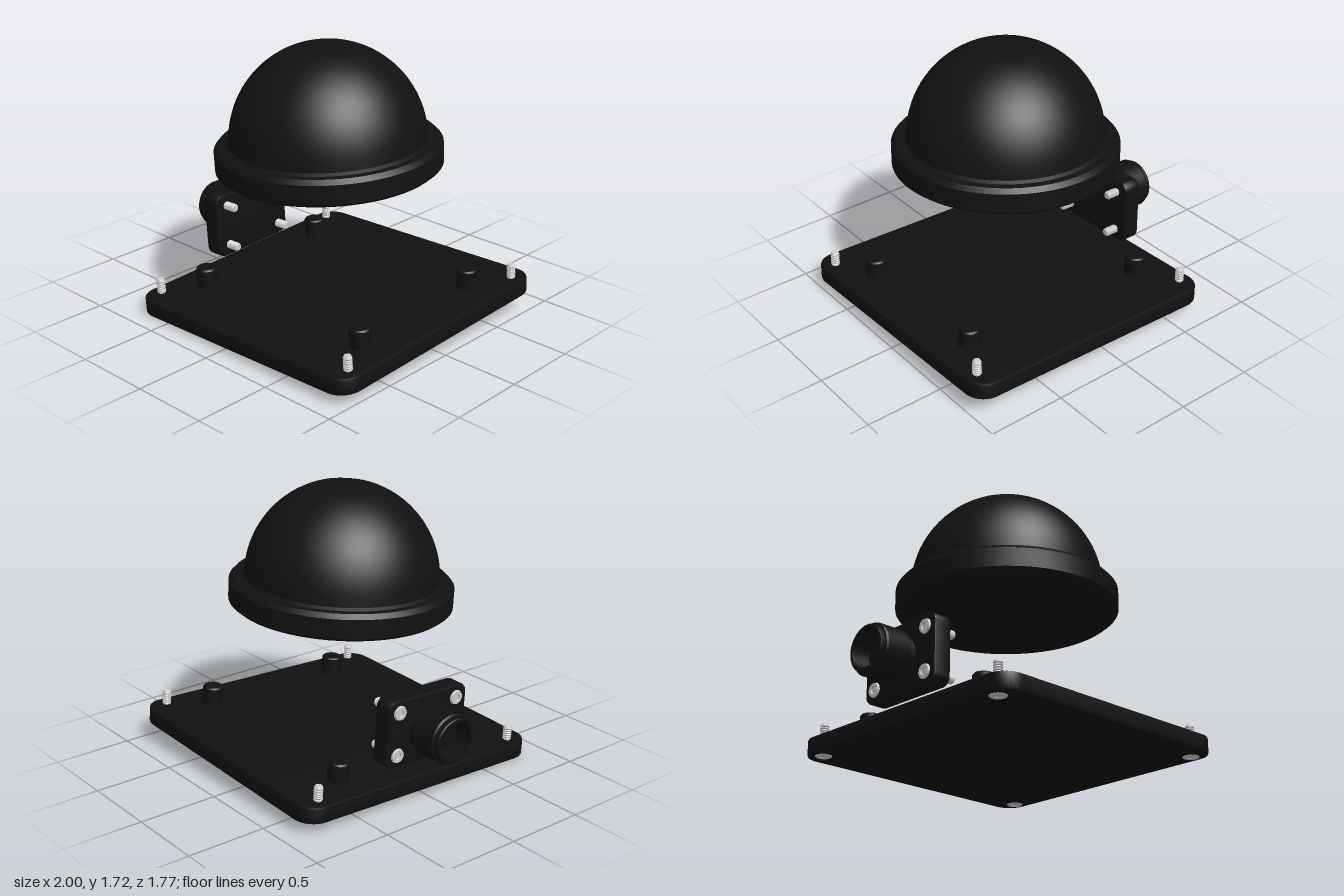
import * as THREE from 'three';
import { toCreasedNormals } from 'three/addons/utils/BufferGeometryUtils.js';

const black = new THREE.MeshStandardMaterial({ color: 0x111111 });
const steel = new THREE.MeshStandardMaterial({ color: 0xcccccc });

function part(name, geometry, material, parent) {
  const mesh = new THREE.Mesh(toCreasedNormals(geometry, 0.5), material);
  mesh.name = name;
  parent.add(mesh);
  return mesh;
}

const lathe = (points, sides) =>
  new THREE.LatheGeometry(points.map(([r, y]) => new THREE.Vector2(r, y)), sides);

// Bevelled slab with rounded corners, w by h, spanning z = 0..depth
function roundedSlab(w, h, depth, radius, bevel) {
  const x = w / 2 - bevel, y = h / 2 - bevel, r = radius - bevel;
  const s = new THREE.Shape();
  s.absarc(x - r, y - r, r, 0, Math.PI / 2);
  s.absarc(-x + r, y - r, r, Math.PI / 2, Math.PI);
  s.absarc(-x + r, -y + r, r, Math.PI, Math.PI * 1.5);
  s.absarc(x - r, -y + r, r, Math.PI * 1.5, Math.PI * 2);
  s.closePath();
  return new THREE.ExtrudeGeometry(s, {
    depth: depth - 2 * bevel, bevelSize: bevel, bevelThickness: bevel,
    bevelSegments: 2, curveSegments: 8,
  }).translate(0, 0, bevel);
}

// Socket-head screw pointing up +y, head resting just below y = 0
function screwGeometry(length, headRadius, headHeight) {
  const pts = [[0, -0.001], [0.022, -0.001], [0.024, -headHeight],
    [headRadius - 0.005, -headHeight], [headRadius, 0], [0.023, 0.002]];
  const pitch = 0.014;
  for (let y = 0.05; y < length - pitch; y += pitch) {
    pts.push([0.023, y], [0.028, y + pitch / 2]);
  }
  pts.push([0.023, length - 0.004], [0.02, length], [0, length]);
  return lathe(pts, 16);
}

// Calls fn at the four corners (+-a, +-b)
function corners(a, b, fn) {
  for (const i of [-1, 1]) for (const j of [-1, 1]) fn(i * a, j * b);
}

export function createModel() {
  const model = new THREE.Group();
  model.name = 'domeHousing';
  const body = new THREE.Group();
  body.name = 'explodedAssembly';
  model.add(body);

  // Base plate with standoffs and corner screws
  const base = new THREE.Group();
  base.name = 'base';
  body.add(base);
  part('basePlate', roundedSlab(1.765, 1.765, 0.105, 0.13, 0.01).rotateX(-Math.PI / 2), black, base);
  const standoff = lathe([[0, 0.09], [0.068, 0.09], [0.065, 0.215], [0.057, 0.225], [0, 0.225]], 24);
  corners(0.655, 0.49, (x, z) => part('standoff', standoff, black, base).position.set(x, 0, z));
  const baseScrew = screwGeometry(0.2, 0.052, 0.006);
  corners(0.797, 0.75, (x, z) => part('baseScrew', baseScrew, steel, base).position.set(x, 0, z));

  // Dome cover: chamfered rim, then a sphere cut flat at the top
  const cover = [[0, 0.91], [0.665, 0.91], [0.692, 0.932], [0.692, 1.05],
    [0.667, 1.077], [0.622, 1.077], [0.602, 1.09]];
  const cut = Math.acos(0.2 / 0.6);
  for (let i = 1; i <= 20; i++) {
    const a = 0.03 + (cut - 0.03) * i / 20;
    cover.push([0.6 * Math.cos(a), 1.08 + 0.6 * Math.sin(a)]);
  }
  cover.push([0, 1.08 + 0.6 * Math.sin(cut)]);
  part('domeCover', lathe(cover, 72), black, body);

  // Side connector: local +y points outwards to -x
  const connector = new THREE.Group();
  connector.name = 'connector';
  connector.position.set(-0.73, 0.4, 0);
  body.add(connector);
  part('connectorFlange', roundedSlab(0.6, 0.425, 0.12, 0.055, 0.012).rotateY(-Math.PI / 2), black, connector);
  const socket = lathe([[0, 0.1], [0.135, 0.1], [0.135, 0.165], [0.148, 0.165], [0.157, 0.175],
    [0.157, 0.33], [0.15, 0.34], [0.14, 0.342], [0.14, 0.365], [0.135, 0.37],
    [0.118, 0.37], [0.115, 0.25], [0, 0.25]], 40);
  part('connectorSocket', socket.rotateZ(Math.PI / 2), black, connector);

  // Flange screws, heads outside and shafts pointing inwards
  const flangeScrew = screwGeometry(0.21, 0.046, 0.012).rotateZ(-Math.PI / 2);
  corners(0.135, 0.218, (y, z) => part('flangeScrew', flangeScrew, steel, connector).position.set(-0.12, y, z));

  // Slight lean of the whole assembly, set down on the ground
  body.rotation.set(0.037, 0, 0.035);
  body.position.x = 0.118;
  model.updateMatrixWorld(true);
  body.position.y = -new THREE.Box3().setFromObject(model, true).min.y;
  return model;
}
